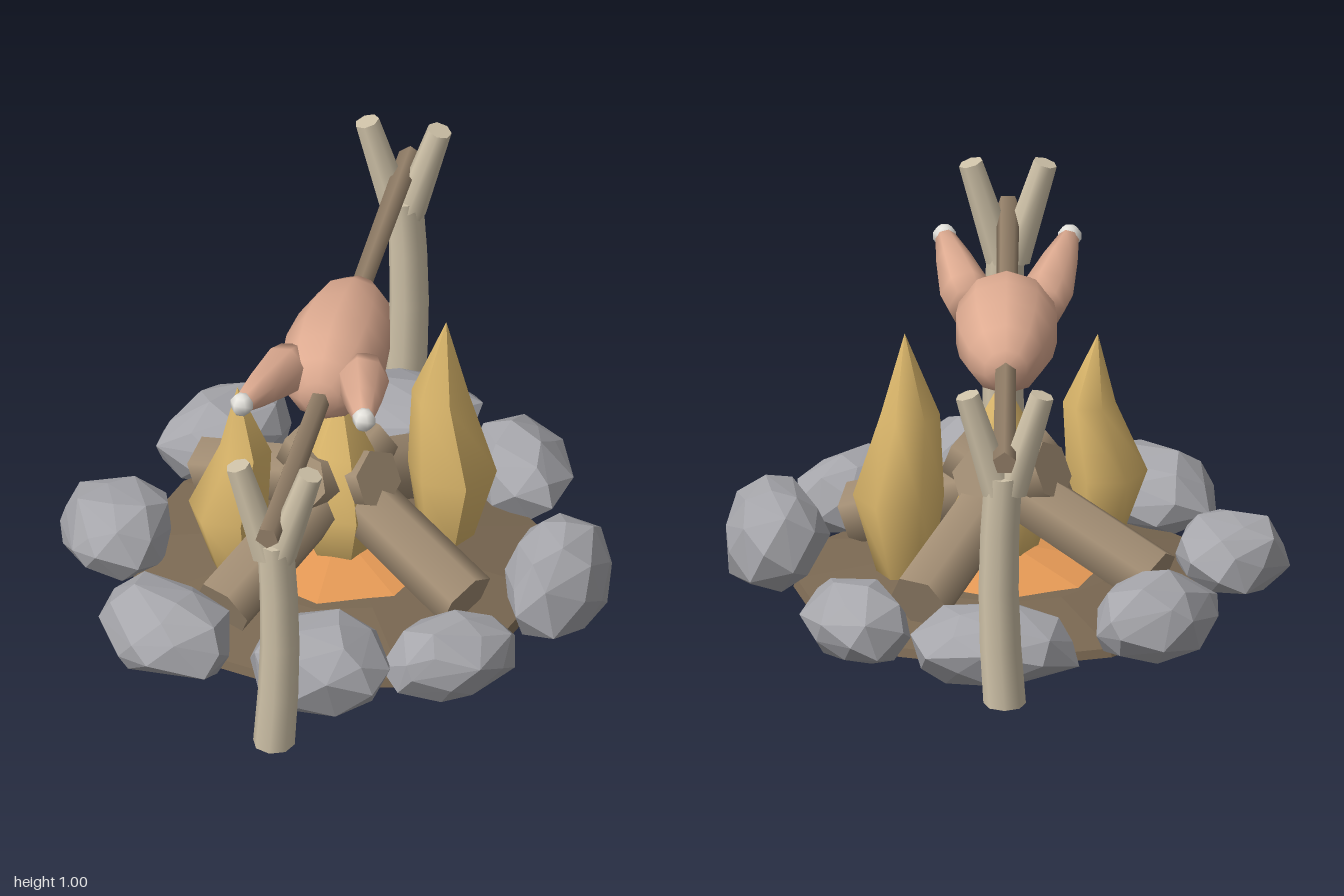
import * as THREE from 'three';
import { ConvexGeometry } from 'three/addons/geometries/ConvexGeometry.js';

const material = (name, color, flatShading = false) => {
  const m = new THREE.MeshStandardMaterial({ color, flatShading });
  m.name = name;
  return m;
};

// Small seeded generator for the rock shapes
function seeded(seed) {
  return () => {
    seed = (seed * 16807) % 2147483647;
    return seed / 2147483647;
  };
}

export function createModel() {
  const model = new THREE.Group();
  model.name = 'campfire';
  const stone = material('stone grey', 0xa6a6ab, true);
  const earth = material('earth brown', 0x7a6852, true);
  const ember = material('ember orange', 0xe69a56, true);
  const bark = material('log brown', 0xa48f75);
  const stick = material('spit brown', 0x948069);
  const wood = material('pale wood', 0xd0c3a9);
  const fire = material('flame gold', 0xdfba6d);
  const meat = material('roast pink', 0xdeab91);
  const bone = material('bone white', 0xe6e4de);

  const add = (name, geometry, mat, parent = model) => {
    const mesh = new THREE.Mesh(geometry, mat);
    mesh.name = name;
    parent.add(mesh);
    return mesh;
  };

  // Tapered rod running from point a to point b
  const rod = (name, a, b, ra, rb, sides, mat, parent = model) => {
    const from = new THREE.Vector3(...a), to = new THREE.Vector3(...b);
    const dir = to.clone().sub(from);
    const mesh = add(name, new THREE.CylinderGeometry(rb, ra, dir.length(), sides), mat, parent);
    mesh.position.copy(from).add(to).multiplyScalar(0.5);
    mesh.quaternion.setFromUnitVectors(new THREE.Vector3(0, 1, 0), dir.normalize());
    return mesh;
  };

  // Lathe from [radius, height] pairs
  const lathe = (points, sides) =>
    new THREE.LatheGeometry(points.map(p => new THREE.Vector2(...p)), sides);

  // Low earth mound and embers
  add('earthBed', lathe([[0, 0], [0.63, 0], [0.62, 0.025], [0.33, 0.085], [0, 0.09]], 12), earth);
  add('embers', lathe([[0.33, 0.08], [0, 0.145]], 8), ember);

  // Ring of rocks: [x min, x max, z min, z max, height]
  const rocks = [
    [-0.63, -0.27, -0.68, -0.29, 0.23], [-0.22, 0.28, -0.86, -0.50, 0.22],
    [0.28, 0.61, -0.69, -0.31, 0.22], [-0.84, -0.50, -0.16, 0.25, 0.20],
    [0.52, 0.83, -0.15, 0.28, 0.29], [-0.62, -0.20, 0.33, 0.73, 0.22],
    [-0.13, 0.30, 0.48, 0.82, 0.27], [0.25, 0.63, 0.34, 0.66, 0.22],
  ];
  rocks.forEach(([x0, x1, z0, z1, h], i) => {
    const rand = seeded(911 + i * 7717);
    const angle = Math.atan2((x0 + x1) / 2, (z0 + z1) / 2);
    const points = [];
    const count = 32;
    for (let k = 0; k < count; k++) {
      const y = 1 - (2 * (k + 0.5)) / count;
      const turn = k * 2.39996 + rand() * 0.5;
      const r = Math.sqrt(1 - y * y);
      const bump = 0.9 + rand() * 0.16;
      points.push(new THREE.Vector3(Math.cos(turn) * r * 1.35, y, Math.sin(turn) * r)
        .multiplyScalar(bump).applyAxisAngle(new THREE.Vector3(0, 1, 0), angle));
    }
    // Fit the hull to its place in the ring and flatten its underside
    const box = new THREE.Box3().setFromPoints(points);
    const size = box.getSize(new THREE.Vector3());
    points.forEach(p => {
      p.sub(box.min).divide(size);
      p.set(x0 + p.x * (x1 - x0), 0.005 + Math.max(p.y - 0.16, p.y * 0.03) / 0.84 * h, z0 + p.z * (z1 - z0));
    });
    add('rock', new ConvexGeometry(points), stone);
  });

  // Four logs leaning together over the embers
  for (let i = 0; i < 4; i++) {
    const a = Math.PI / 6 + (i * Math.PI) / 2;
    const c = Math.cos(a), s = Math.sin(a);
    rod('log', [c * 0.51, 0.13, s * 0.51], [-c * 0.16, 0.405, -s * 0.16], 0.098, 0.092, 6, bark);
  }

  // Flames: [x, z, tip height, width, sideways bend]
  const flames = [[-0.27, 0.17, 0.74, 0.12, 0.03], [0.30, -0.12, 0.86, 0.135, -0.02], [0.01, 0.02, 0.66, 0.155, 0]];
  flames.forEach(([x, z, top, r, bend]) => {
    const h = top - 0.1;
    const shape = lathe([[0, 0], [r * 0.62, 0], [r, h * 0.32], [r * 0.65, h * 0.66], [0, h]], 6);
    shape.rotateY(Math.PI / 6);
    const p = shape.attributes.position;
    for (let i = 0; i < p.count; i++) {
      p.setX(i, p.getX(i) - bend * Math.sin((p.getY(i) / h) * Math.PI * 2));
    }
    shape.computeVertexNormals();
    add('flame', shape, fire).position.set(x, 0.1, z);
  });

  // Forked posts with a slight bow
  for (const z of [-0.9, 0.9]) {
    const post = new THREE.Group();
    post.name = 'forkedPost';
    post.position.z = z;
    model.add(post);
    const trunk = new THREE.CylinderGeometry(0.056, 0.063, 0.73, 8, 4);
    const p = trunk.attributes.position;
    for (let i = 0; i < p.count; i++) {
      const t = p.getY(i) / 0.73 + 0.5;
      p.setX(i, p.getX(i) + 0.016 * Math.sin(Math.PI * t) + 0.004 * t);
    }
    add('postTrunk', trunk, wood, post).position.y = 0.365;
    for (const side of [-1, 1]) {
      rod('postFork', [side * 0.018, 0.68, 0], [side * 0.11, 0.985, 0], 0.05, 0.037, 7, wood, post);
    }
  }

  // Spit, thicker towards its ends
  for (const side of [-1, 1]) {
    rod('spit', [0, 0.80, 0], [0, 0.807, side], 0.031, 0.036, 5, stick);
  }

  // Roast body with blunt ends
  const body = lathe([[0, -0.285], [0.065, -0.28], [0.115, -0.2], [0.145, -0.08], [0.157, 0.04],
    [0.148, 0.14], [0.115, 0.22], [0.06, 0.272], [0, 0.275]], 10);
  body.rotateX(Math.PI / 2);
  body.scale(1, 0.96, 1);
  add('roastBody', body, meat).position.y = 0.81;

  // Drumsticks with bone knobs
  for (const side of [-1, 1]) {
    const start = new THREE.Vector3(side * 0.105, 0.835, 0.15);
    const end = new THREE.Vector3(side * 0.182, 0.915, 0.485);
    const dir = end.clone().sub(start);
    const l = dir.length();
    const leg = add('drumstick',
      lathe([[0, 0], [0.07, 0], [0.078, l * 0.2], [0.054, l * 0.67], [0.031, l], [0, l]], 7), meat);
    leg.position.copy(start);
    leg.quaternion.setFromUnitVectors(new THREE.Vector3(0, 1, 0), dir.normalize());
    add('boneKnob', new THREE.SphereGeometry(0.036, 6, 5), bone).position.set(side * 0.185, 0.917, 0.498);
  }

  return model;
}
